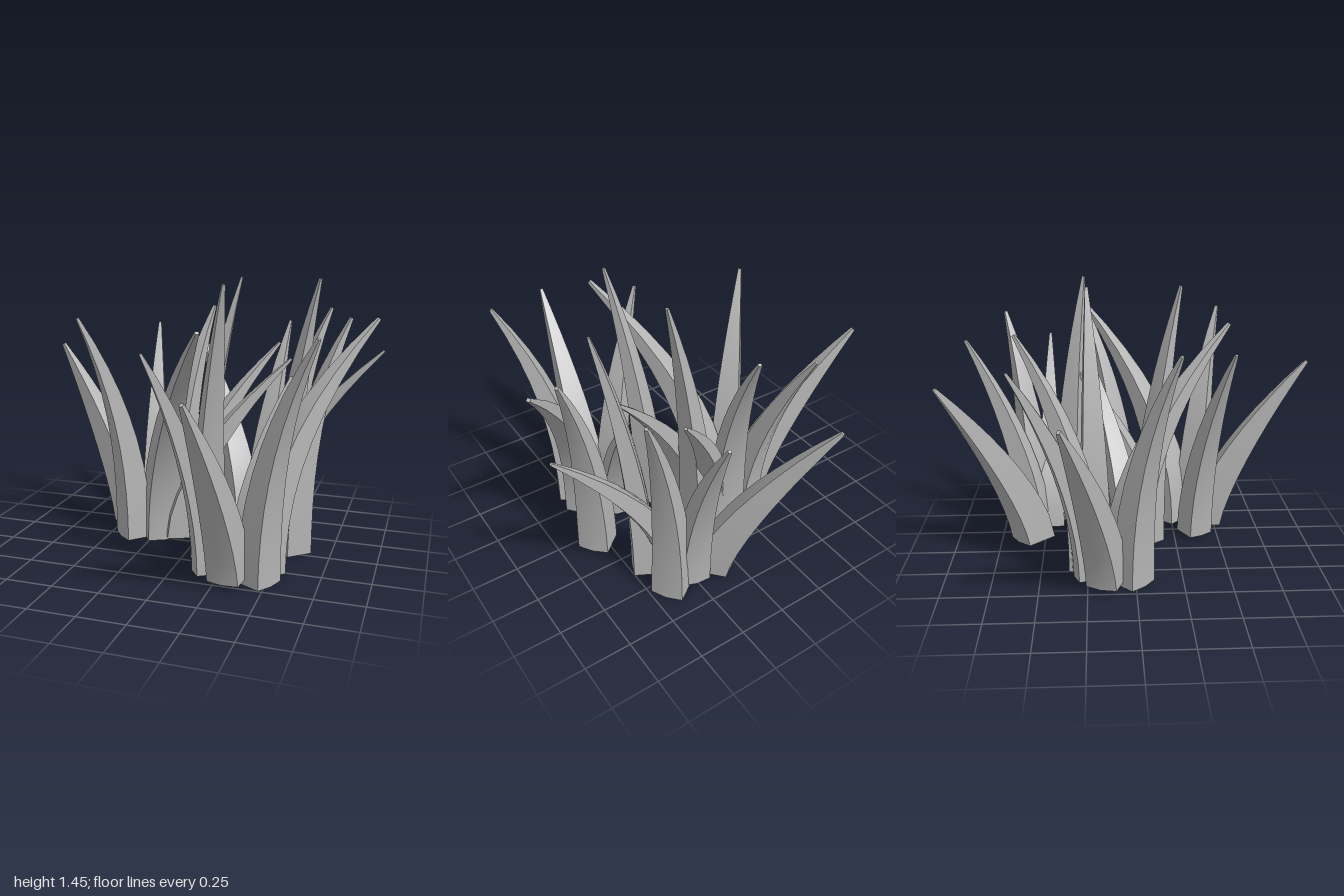
import * as THREE from 'three';

const STEPS = 9;

// Cross-section (side, outward), with a faint ridge on the inner and outer faces
const SECTION = [[-1, -0.95], [0, -1], [1, -0.95], [1, 0.85], [0, 1], [-1, 0.85]];
// Corners joined smoothly: inner face, right edge, outer face, left edge
const STRIPS = [[0, 1, 2], [2, 3], [3, 4, 5], [5, 0]];

// Tapered curved blade: sharp at its edges, smooth along its length
function bladeGeometry(base, tip, width, depth, power) {
  const out = new THREE.Vector3(tip.x - base.x, 0, tip.z - base.z);
  const lean = out.length();
  out.normalize();
  const side = new THREE.Vector3(out.z, 0, -out.x);
  const rise = tip.y - base.y;
  const rings = [];
  for (let i = 0; i <= STEPS; i++) {
    const t = i / STEPS;
    const centre = base.clone().addScaledVector(out, lean * t ** power);
    centre.y += rise * t;
    const slope = lean * power * t ** (power - 1);
    const normal = out.clone().multiplyScalar(rise).add(new THREE.Vector3(0, -slope, 0)).normalize();
    const taper = 1 - 0.9 * t ** 1.6;
    rings.push(SECTION.map(([a, b]) => centre.clone()
      .addScaledVector(side, a * width * taper / 2)
      .addScaledVector(normal, b * depth * taper / 2)));
  }
  const points = [], index = [];
  for (const strip of STRIPS) {
    const start = points.length, n = strip.length;
    rings.forEach((ring) => strip.forEach((k) => points.push(ring[k])));
    for (let i = 0; i < STEPS; i++) {
      for (let j = 0; j < n - 1; j++) {
        const a = start + i * n + j;
        index.push(a, a + n, a + 1, a + 1, a + n, a + n + 1);
      }
    }
  }
  // Flat underside and blunt tip
  const foot = points.length, top = foot + 6;
  points.push(...rings[0], ...rings[STEPS]);
  for (let k = 1; k < 5; k++) {
    index.push(foot, foot + k, foot + k + 1, top, top + k + 1, top + k);
  }
  const geometry = new THREE.BufferGeometry().setFromPoints(points);
  geometry.setIndex(index);
  geometry.computeVertexNormals();
  return geometry;
}

// Kinds of blade: foot height, width, depth, bend
const KINDS = {
  lowBlade: [0.03, 0.165, 0.2, 1.4],
  slimBlade: [0.02, 0.15, 0.15, 1.8],
  uprightBlade: [0, 0.17, 0.16, 2.2],
  archingBlade: [0, 0.19, 0.18, 2.1],
  leaningBlade: [0.03, 0.15, 0.14, 1.7],
  tallBlade: [0.02, 0.16, 0.13, 1.9],
};

// Each blade: kind, foot x, foot z, tip x, tip z, tip height
const CLUMPS = {
  rightClump: [
    ['lowBlade', -0.415, -0.15, -0.94, -0.35, 1.02],
    ['slimBlade', -0.32, -0.25, -0.42, -0.62, 1.14],
    ['uprightBlade', -0.19, -0.26, -0.07, -0.61, 1.25],
    ['leaningBlade', -0.15, -0.21, 0.33, -0.6, 1.05],
    ['leaningBlade', -0.1, -0.02, 0.47, -0.24, 1.02],
    ['archingBlade', -0.215, -0.05, 0.18, 0.53, 1.25],
    ['uprightBlade', -0.37, -0.01, -0.58, 0.2, 1.25],
    ['tallBlade', -0.02, -0.21, 0.19, -0.24, 1.45],
  ],
  frontClump: [
    ['lowBlade', 0.32, 0.45, 0.26, 0.99, 1.02],
    ['slimBlade', 0.18, 0.37, -0.1, 0.53, 1.14],
    ['uprightBlade', 0.46, 0.39, 0.74, 0.54, 1.25],
    ['archingBlade', 0.445, 0.25, 0.92, -0.27, 1.25],
    ['uprightBlade', 0.54, -0.06, 0.78, -0.26, 1.25],
    ['leaningBlade', 0.33, 0.1, 0.47, -0.3, 0.92],
    ['tallBlade', 0.1, 0.09, 0.23, 0.27, 1.45],
  ],
  backClump: [
    ['lowBlade', 0.12, -0.57, -0.26, -0.99, 1.02],
    ['slimBlade', 0.25, -0.56, 0.33, -0.92, 1.14],
    ['uprightBlade', 0.38, -0.56, 0.61, -0.72, 1.25],
    ['leaningBlade', 0.32, -0.47, 0.94, -0.48, 1.05],
    ['tallBlade', 0.425, -0.36, 0.61, -0.26, 1.45],
  ],
};

export function createModel() {
  const model = new THREE.Group();
  model.name = 'grassTuft';
  const grey = new THREE.MeshStandardMaterial({ color: 0xb4b4b4 });
  grey.name = 'grey';
  for (const [clumpName, blades] of Object.entries(CLUMPS)) {
    const clump = new THREE.Group();
    clump.name = clumpName;
    for (const [kind, x, z, tipX, tipZ, tipY] of blades) {
      const [footY, width, depth, power] = KINDS[kind];
      const blade = new THREE.Mesh(bladeGeometry(
        new THREE.Vector3(x, footY, z), new THREE.Vector3(tipX, tipY, tipZ),
        width, depth, power), grey);
      blade.name = kind;
      clump.add(blade);
    }
    model.add(clump);
  }
  return model;
}
